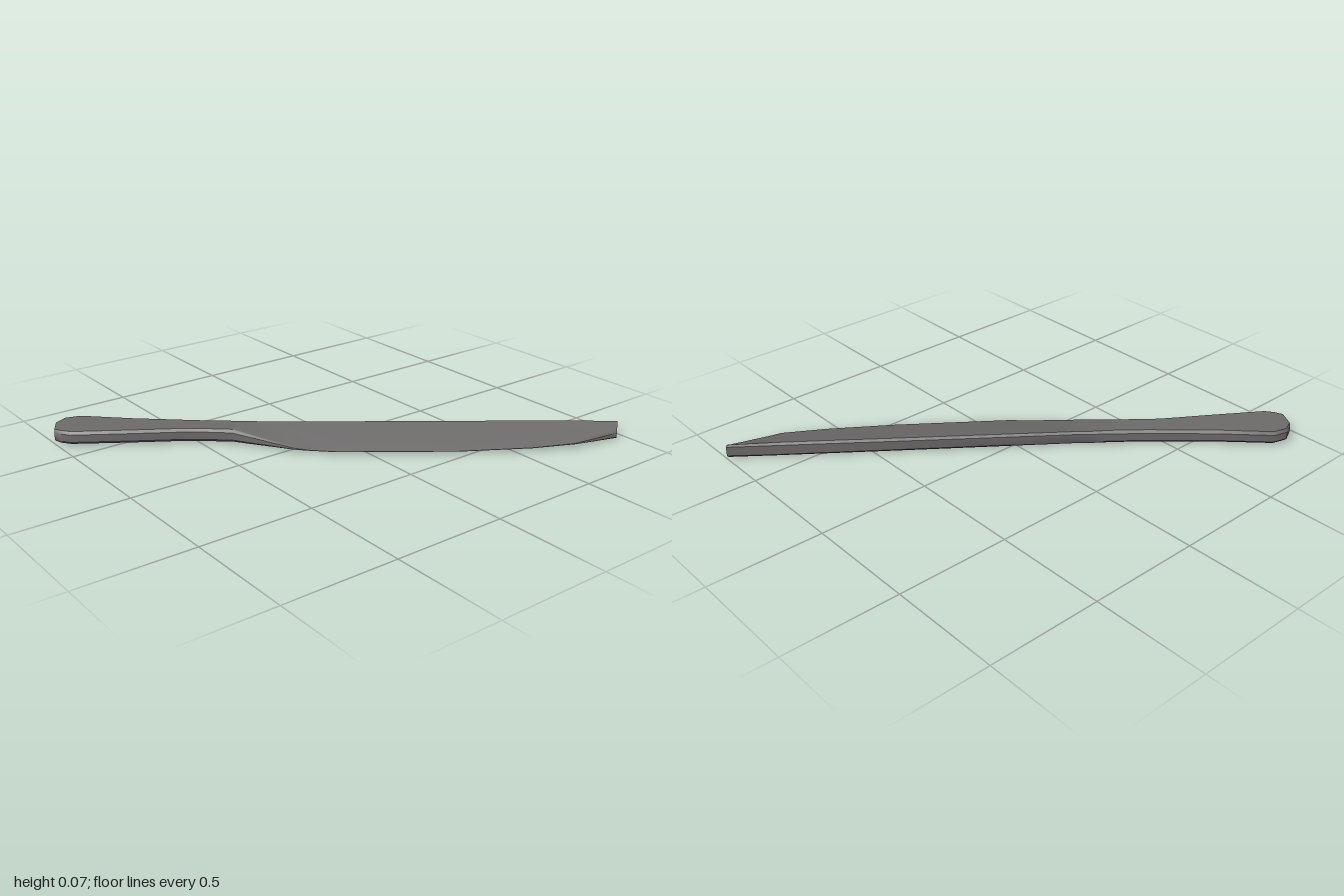
import * as THREE from 'three';
import { toCreasedNormals } from 'three/addons/utils/BufferGeometryUtils.js';

// Cross-sections from pommel to tip:
// [spine x, spine z, edge x, edge z, bottom y, top y, edge bottom y, edge top y]
const handleSections = [
  [-0.95, -0.755, -1.0, -0.67, 0.012, 0.066, 0.012, 0.066],
  [-0.895, -0.78, -0.985, -0.635, 0.01, 0.067, 0.01, 0.067],
  [-0.83, -0.76, -0.96, -0.6, 0.01, 0.067, 0.01, 0.067],
  [-0.66, -0.59, -0.76, -0.466, 0.009, 0.067, 0.009, 0.067],
  [-0.49, -0.435, -0.56, -0.335, 0.008, 0.067, 0.009, 0.067],
  [-0.43, -0.38, -0.48, -0.27, 0.008, 0.067, 0.009, 0.067],
  [-0.31, -0.28, -0.4, -0.2, 0.007, 0.067, 0.009, 0.066],
];
const bladeSections = [
  [-0.25, -0.23, -0.24, 0.03, 0.006, 0.067, 0.01, 0.022],
  [-0.19, -0.18, -0.19, 0.08, 0.006, 0.067, 0.01, 0.014],
  [-0.02, -0.052, -0.11, 0.16, 0.005, 0.068, 0.01, 0.013],
  [0.43, 0.292, 0.3, 0.47, 0.003, 0.069, 0.01, 0.013],
  [0.68, 0.484, 0.56, 0.64, 0.002, 0.07, 0.014, 0.018],
  [0.84, 0.607, 0.73, 0.73, 0.001, 0.07, 0.018, 0.025],
  [1.0, 0.73, 0.95, 0.77, 0.004, 0.07, 0.0, 0.036],
];

// Closed outline of one cross-section, with softened spine corners
function outline([sx, sz, ex, ez, yb, yt, eb, et]) {
  const width = Math.hypot(ex - sx, ez - sz);
  const inset = Math.min(0.012 / width, 0.2);
  const round = Math.min(0.012, (et - eb) * 0.22);
  const at = (u, y) => [sx + (ex - sx) * u, y, sz + (ez - sz) * u];
  const low = u => yb + (eb - yb) * u;
  const high = u => yt + (et - yt) * u;
  return [
    at(inset, low(inset)), at(1 - inset, low(1 - inset)),
    at(1, eb + round), at(1, et - round),
    at(1 - inset, high(1 - inset)), at(inset, high(inset)),
    at(0, yt - 0.012), at(0, yb + 0.012),
  ];
}

// Skin the outlines and close the requested ends
function loft(sections, capStart, capEnd) {
  const rings = sections.map(outline);
  const n = rings[0].length;
  const index = [];
  for (let i = 0; i < rings.length - 1; i++) {
    for (let j = 0; j < n; j++) {
      const a = i * n + j, b = i * n + (j + 1) % n;
      index.push(a, a + n, b, b, a + n, b + n);
    }
  }
  const last = (rings.length - 1) * n;
  for (let k = 1; k < n - 1; k++) {
    if (capStart) index.push(0, k, k + 1);
    if (capEnd) index.push(last, last + k + 1, last + k);
  }
  const geometry = new THREE.BufferGeometry();
  geometry.setAttribute('position', new THREE.Float32BufferAttribute(rings.flat(2), 3));
  geometry.setIndex(index);
  return toCreasedNormals(geometry, 0.7);
}

export function createModel() {
  const group = new THREE.Group();
  group.name = 'knife';
  const steel = new THREE.MeshStandardMaterial({ color: 0x6e6b6b });
  steel.name = 'dark steel';

  // Flared handle narrowing to the neck
  const handle = new THREE.Mesh(loft(handleSections, true, false), steel);
  handle.name = 'handle';

  // Shoulder and wedge-shaped blade, sharing the neck section
  const neck = handleSections[handleSections.length - 1];
  const blade = new THREE.Mesh(loft([neck, ...bladeSections], false, true), steel);
  blade.name = 'blade';

  group.add(handle, blade);
  return group;
}
